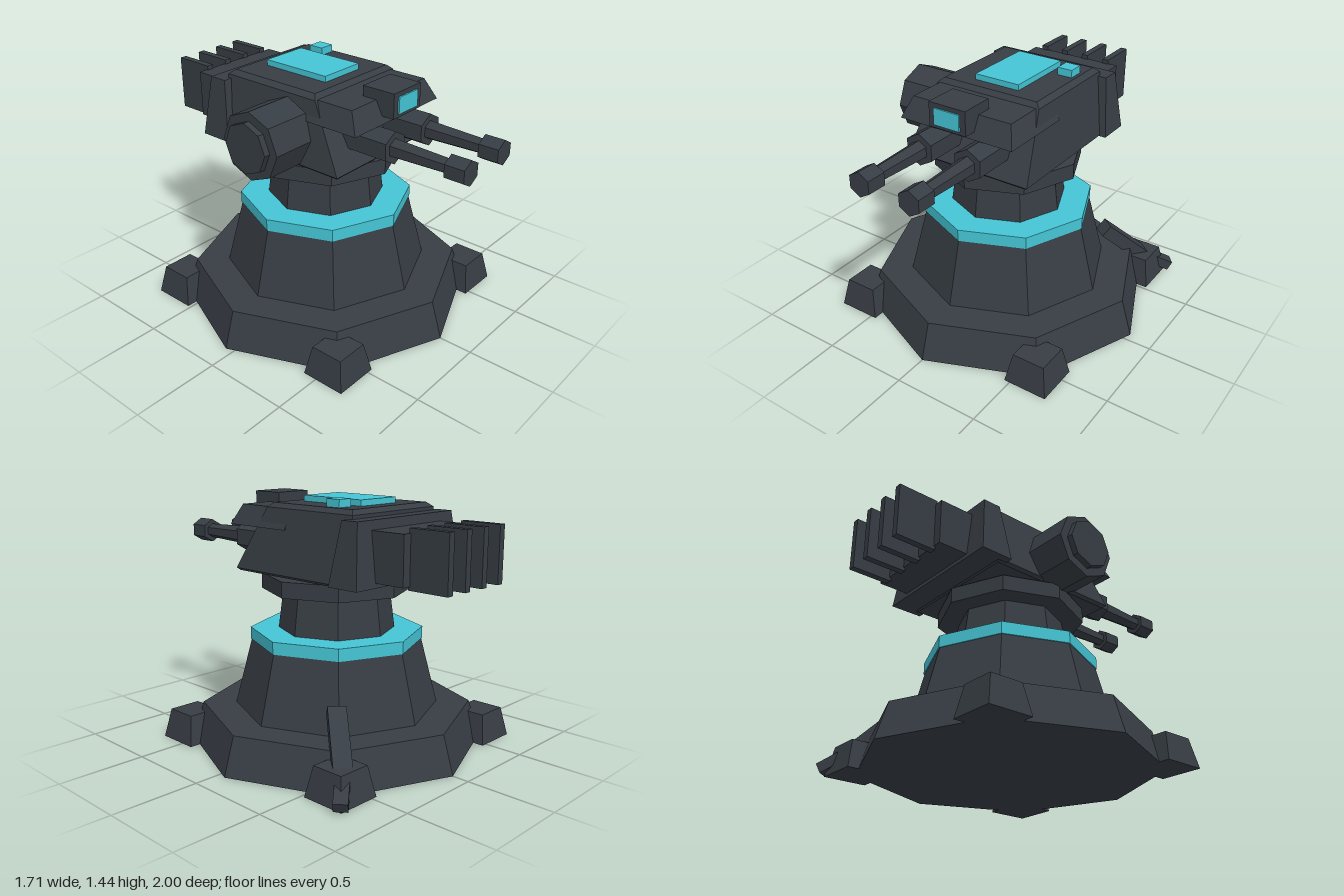
import * as THREE from 'three';

export function createModel() {
  const model = new THREE.Group();
  model.name = 'turret';
  const dark = new THREE.MeshStandardMaterial({ name: 'dark armour', color: 0x373d44, flatShading: true });
  const teal = new THREE.MeshStandardMaterial({ name: 'teal glow', color: 0x45c5d5, flatShading: true });

  const add = (name, geometry, material = dark, x = 0, y = 0, z = 0) => {
    const mesh = new THREE.Mesh(geometry, material);
    mesh.name = name;
    mesh.position.set(x, y, z);
    model.add(mesh);
    return mesh;
  };

  // Box given by its limits
  const block = (name, x0, x1, y0, y1, z0, z1, material = dark) =>
    add(name, new THREE.BoxGeometry(x1 - x0, y1 - y0, z1 - z0), material,
      (x0 + x1) / 2, (y0 + y1) / 2, (z0 + z1) / 2);

  // Stack of rectangles [y, half width, back z, front z] joined into a solid
  const loft = (rings) => {
    const points = [], index = [];
    for (const [y, h, back, front] of rings)
      points.push(-h, y, front, h, y, front, h, y, back, -h, y, back);
    for (let r = 0; r < rings.length - 1; r++)
      for (let i = 0; i < 4; i++) {
        const a = r * 4 + i, b = r * 4 + (i + 1) % 4;
        index.push(a, b, b + 4, a, b + 4, a + 4);
      }
    const t = (rings.length - 1) * 4;
    index.push(t, t + 1, t + 2, t, t + 2, t + 3, 0, 2, 1, 0, 3, 2);
    const g = new THREE.BufferGeometry();
    g.setAttribute('position', new THREE.Float32BufferAttribute(points, 3));
    g.setIndex(index);
    const flat = g.toNonIndexed();
    flat.computeVertexNormals();
    return flat;
  };

  // Octagonal base stack: name, bottom y, top y, bottom radius, top radius
  const axisZ = -0.05;
  for (const [name, y0, y1, r0, r1, material] of [
    ['basePlate', 0, 0.215, 0.853, 0.785, dark],
    ['pedestal', 0.215, 0.6, 0.592, 0.492, dark],
    ['glowRing', 0.6, 0.67, 0.498, 0.498, teal],
    ['neck', 0.67, 0.9, 0.335, 0.305, dark],
    ['collar', 0.9, 0.99, 0.428, 0.428, dark],
    ['swivel', 0.99, 1.005, 0.33, 0.33, dark],
  ]) add(name, new THREE.CylinderGeometry(r1, r0, y1 - y0, 8), material, 0, (y0 + y1) / 2, axisZ);

  // Anchor feet
  for (const sx of [-1, 1])
    for (const sz of [-1, 1])
      add('anchorFoot', loft([[0, 0.128, -0.128, 0.128], [0.17, 0.095, -0.095, 0.095]]),
        dark, sx * 0.595, 0, axisZ + sz * 0.597);

  // Rear brace with its spade
  const beam = (name, from, to, w, h) => {
    const a = new THREE.Vector3(...from), b = new THREE.Vector3(...to);
    const mesh = add(name, new THREE.BoxGeometry(w, h, a.distanceTo(b)));
    mesh.position.copy(a).add(b).multiplyScalar(0.5);
    mesh.lookAt(b);
  };
  beam('brace', [0.43, 0.37, -0.46], [0.62, 0.11, -0.69], 0.1, 0.08);
  beam('braceSpade', [0.59, 0.14, -0.665], [0.745, 0.04, -0.79], 0.075, 0.06);

  // Turret head
  add('headBody', loft([
    [1.0, 0.375, -0.45, 0.35], [1.015, 0.392, -0.46, 0.365],
    [1.37, 0.33, -0.475, 0.165], [1.395, 0.3, -0.445, 0.14],
  ]));
  add('rearBand', loft([[1.01, 0.43, -0.595, -0.4], [1.35, 0.385, -0.557, -0.45]]));
  add('gunHood', loft([[1.255, 0.357, 0.0, 0.452], [1.37, 0.312, 0.0, 0.392]]));

  // Roof panels
  block('roofPanel', -0.14, 0.14, 1.385, 1.428, -0.36, 0.07, teal);
  block('roofBeacon', 0.19, 0.28, 1.385, 1.438, -0.335, -0.243, teal);

  // Sensor box and lens
  block('sensorBox', -0.115, 0.115, 1.29, 1.428, 0.305, 0.505);
  block('sensorLens', -0.08, 0.08, 1.31, 1.403, 0.505, 0.514, teal);

  // Exhaust block and cooling fins
  block('exhaustBlock', -0.285, 0.285, 1.035, 1.3, -0.77, -0.55);
  for (const x of [-0.213, -0.071, 0.071, 0.213])
    block('coolingFin', x - 0.02, x + 0.02, 1.015, 1.325, -1, -0.76);

  // Twin hexagonal guns: name, back z, front z, back radius, front radius
  for (const x of [-0.155, 0.155])
    for (const [name, z0, z1, r0, r1] of [
      ['gunBreech', 0.18, 0.55, 0.092, 0.092],
      ['gunBarrel', 0.55, 0.89, 0.054, 0.042],
      ['gunMuzzle', 0.885, 1, 0.07, 0.07],
    ]) add(name, new THREE.CylinderGeometry(r1, r0, z1 - z0, 6).rotateX(Math.PI / 2), dark,
      x, 1.16, (z0 + z1) / 2);

  // Ammunition drum on the right side
  for (const [name, x0, x1, r] of [['ammoDrum', -0.62, -0.33, 0.192], ['drumCap', -0.656, -0.62, 0.142]])
    add(name, new THREE.CylinderGeometry(r, r, x1 - x0, 8).rotateZ(Math.PI / 2), dark,
      (x0 + x1) / 2, 1.157, -0.025);

  return model;
}
